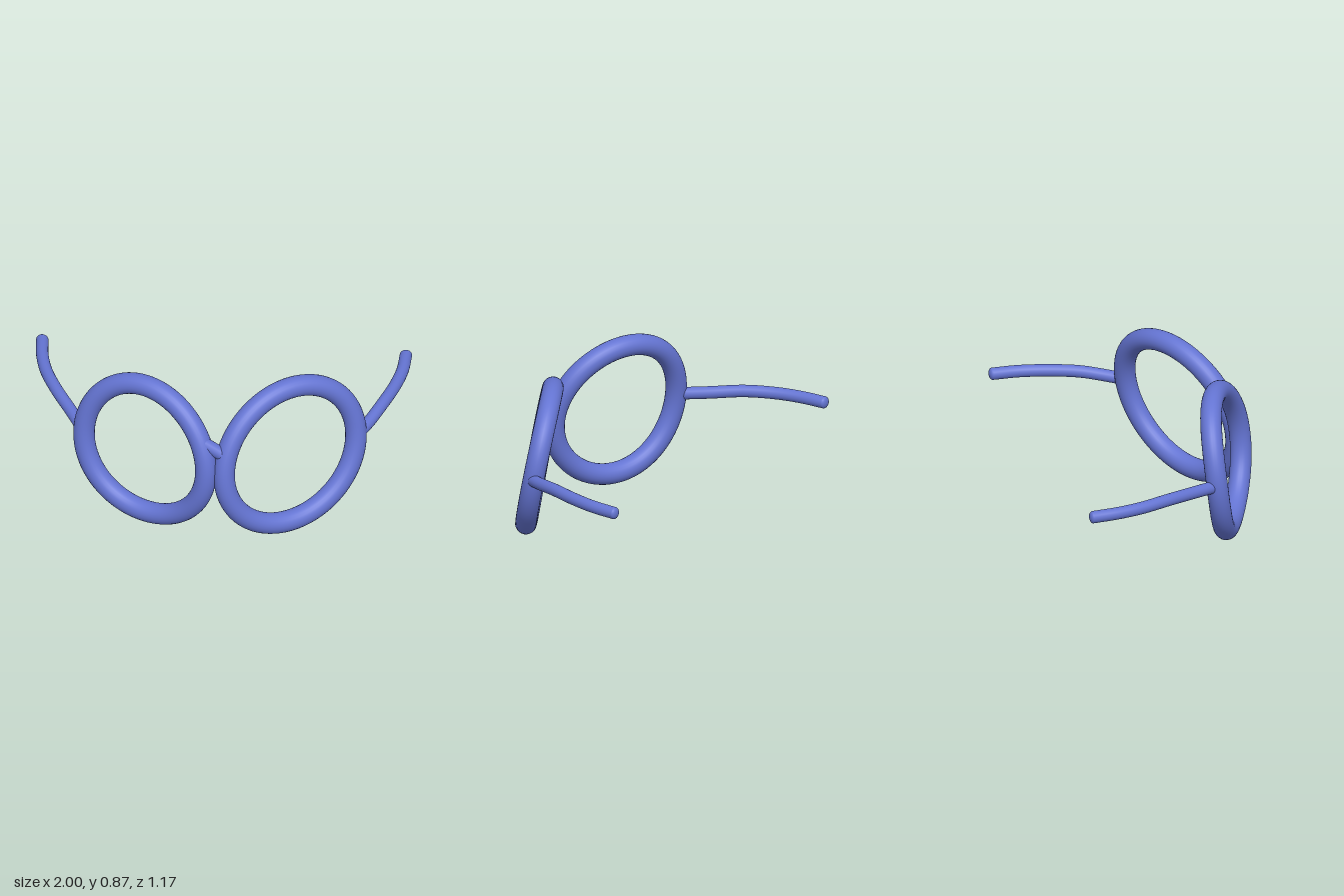
import * as THREE from 'three';

const blue = new THREE.MeshStandardMaterial({ color: 0x6474d2 });
blue.name = 'frameBlue';

function add(group, name, geometry) {
  const mesh = new THREE.Mesh(geometry, blue);
  mesh.name = name;
  group.add(mesh);
  return mesh;
}

// Round rim: a closed tube leaning back by `lean`, swept back at its outer side
// (side = +1 or -1) by `sweep`, with a slight `bow`.
function rim(side, cx, cy, cz, rx, ry, sweep, lean, bow) {
  const points = [];
  for (let i = 0; i < 32; i++) {
    const t = (i / 32) * Math.PI * 2;
    const c = Math.cos(t), s = Math.sin(t);
    points.push(new THREE.Vector3(
      cx + side * rx * c,
      cy + ry * s,
      cz - sweep * c - lean * s + bow * Math.cos(2 * t)
    ));
  }
  const curve = new THREE.CatmullRomCurve3(points, true);
  return new THREE.TubeGeometry(curve, 96, 0.057, 24, true);
}

// Temple arm: an open tube with a blunt rounded tip
function temple(group, name, points) {
  const path = points.map((p) => new THREE.Vector3(...p));
  const arm = new THREE.Group();
  arm.name = name;
  add(arm, name + 'Bar', new THREE.TubeGeometry(new THREE.CatmullRomCurve3(path), 40, 0.033, 20));
  const tip = add(arm, name + 'Tip', new THREE.SphereGeometry(0.033, 20, 14));
  tip.position.copy(path[path.length - 1]);
  tip.scale.z = 0.6;
  group.add(arm);
}

export function createModel() {
  const model = new THREE.Group();
  model.name = 'spectacles';

  // Rims
  add(model, 'leftRim', rim(1, 0.413, 0.432, 0.312, 0.335, 0.375, 0.2, 0.08, 0.004));
  add(model, 'rightRim', rim(-1, -0.354, 0.441, 0.342, 0.335, 0.373, 0.157, 0.045, 0.018));

  // Bridge between the rims
  const from = new THREE.Vector3(-0.04, 0.61, 0.49), to = new THREE.Vector3(0.1, 0.525, 0.5);
  const bridge = add(model, 'bridge', new THREE.CapsuleGeometry(0.036, from.distanceTo(to), 8, 18));
  bridge.position.copy(from).lerp(to, 0.5);
  bridge.quaternion.setFromUnitVectors(new THREE.Vector3(0, 1, 0), to.clone().sub(from).normalize());

  // Temples
  temple(model, 'leftTemple', [
    [0.755, 0.452, 0.13], [0.81, 0.465, 0.03], [0.87, 0.482, -0.11],
    [0.923, 0.485, -0.27], [0.955, 0.485, -0.42], [0.963, 0.484, -0.562],
  ]);
  temple(model, 'rightTemple', [
    [-0.7, 0.452, 0.18], [-0.77, 0.465, 0.045], [-0.86, 0.482, -0.12],
    [-0.925, 0.485, -0.28], [-0.956, 0.485, -0.42], [-0.967, 0.484, -0.562],
  ]);

  return model;
}
